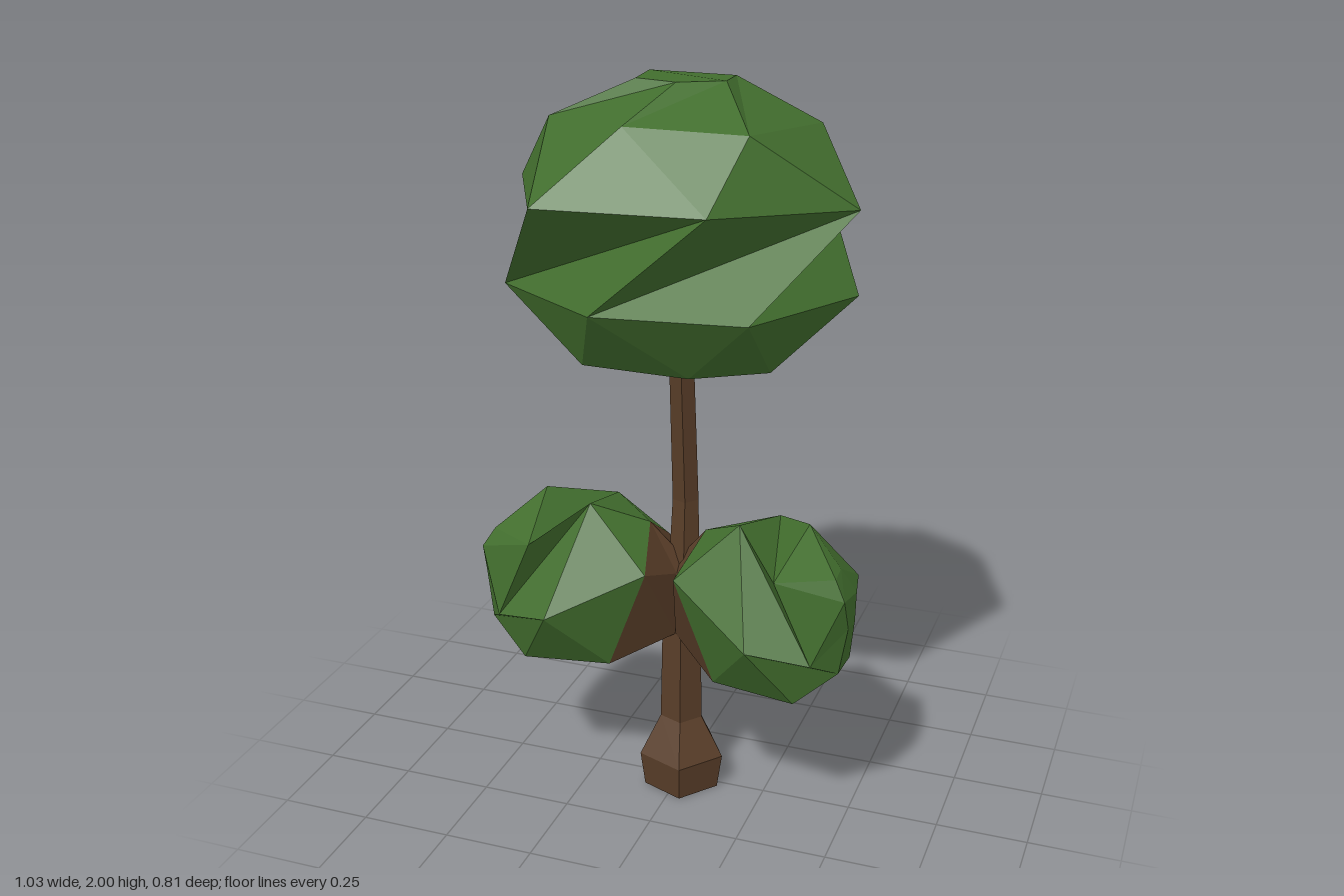
import * as THREE from 'three';

const leaf = new THREE.MeshStandardMaterial({ color: 0x426e2e, flatShading: true });
const bark = new THREE.MeshStandardMaterial({ color: 0x583d28, flatShading: true });

// Skins a stack of rings (tip to base, same point count) and caps both ends.
// shifts[i] is the index twist between ring i and ring i + 1; mirror reflects in x.
function loft(rings, shifts = [], mirror = false) {
  const n = rings[0].length;
  const pos = [];
  const tri = (a, b, c) => {
    for (const [x, y, z] of mirror ? [a, c, b] : [a, b, c]) pos.push(mirror ? -x : x, y, z);
  };
  for (let i = 0; i + 1 < rings.length; i++) {
    const a = rings[i], b = rings[i + 1], s = shifts[i] ?? 0;
    for (let j = 0; j < n; j++) {
      const k = (j + 1) % n;
      tri(a[j], a[k], b[(j + s) % n]);
      tri(a[k], b[(k + s) % n], b[(j + s) % n]);
    }
  }
  const top = rings[0], base = rings[rings.length - 1];
  for (let j = 1; j + 1 < n; j++) {
    tri(top[0], top[j + 1], top[j]);
    tri(base[0], base[j], base[j + 1]);
  }
  const geometry = new THREE.BufferGeometry();
  geometry.setAttribute('position', new THREE.Float32BufferAttribute(pos, 3));
  geometry.computeVertexNormals();
  return geometry;
}

// Regular five-sided trunk ring
const ring = (y, cx, cz, r) => Array.from({ length: 5 }, (_, i) => {
  const t = 0.05 + i * Math.PI * 2 / 5;
  return [cx + r * Math.cos(t), y, cz + r * Math.sin(t)];
});

// Crown rings, from the flat top down
const crown = [
  [[0.12, 2, 0], [0.01, 2, 0.06], [-0.105, 2, 0.035],
    [-0.125, 1.995, -0.115], [-0.02, 1.985, -0.17], [0.1, 1.99, -0.14]],
  [[0.24, 1.91, 0.19], [-0.065, 1.92, 0.235], [-0.325, 1.9, 0.07],
    [-0.25, 1.88, -0.285], [0.06, 1.88, -0.335], [0.32, 1.88, -0.17]],
  [[0.48, 1.72, 0.05], [0.19, 1.745, 0.355], [-0.24, 1.745, 0.4],
    [-0.46, 1.715, -0.05], [-0.295, 1.7, -0.365], [0.265, 1.69, -0.405]],
  [[0.44, 1.45, -0.13], [0.29, 1.49, 0.335], [-0.11, 1.48, 0.36],
    [-0.45, 1.46, 0.1], [-0.3, 1.45, -0.29], [0.05, 1.43, -0.38]],
  [[0.27, 1.29, 0.08], [0.1, 1.3, 0.22], [-0.19, 1.3, 0.21],
    [-0.27, 1.29, -0.06], [-0.1, 1.28, -0.24], [0.2, 1.27, -0.22]],
];

// Left side clump rings, from the small outer facet in towards the trunk
const clump = [
  [[0.51, 0.73, 0.18], [0.48, 0.78, 0.16], [0.475, 0.78, 0.09],
    [0.51, 0.7, 0.05], [0.515, 0.63, 0.08], [0.515, 0.64, 0.15]],
  [[0.44, 0.56, 0.24], [0.34, 0.79, 0.25], [0.375, 0.87, 0.04],
    [0.48, 0.68, -0.09], [0.5, 0.51, 0.06], [0.495, 0.51, 0.16]],
  [[0.28, 0.6, 0.3], [0.21, 0.88, 0.13], [0.24, 0.795, -0.15],
    [0.28, 0.54, -0.19], [0.22, 0.37, -0.02], [0.385, 0.42, 0.2]],
  [[0.15, 0.42, 0.16], [0.04, 0.71, 0.17], [0.08, 0.8, 0.02],
    [0.08, 0.7, -0.13], [0.11, 0.52, -0.15], [0.15, 0.41, -0.02]],
];

// Where the left branch leaves the trunk
const root = [[0, 0.48, 0.04], [0, 0.66, 0.03], [0, 0.7, -0.01],
  [0, 0.66, -0.05], [0, 0.55, -0.05], [0, 0.47, -0.02]];

export function createModel() {
  const group = new THREE.Group();
  const add = (name, geometry, material) => {
    const mesh = new THREE.Mesh(geometry, material);
    mesh.name = name;
    group.add(mesh);
  };

  // Bent trunk with a flared foot
  add('trunk', loft([
    ring(1.34, 0.002, 0, 0.034),
    ring(0.86, 0.003, -0.036, 0.037),
    ring(0.65, 0.003, -0.025, 0.045),
    ring(0.48, 0.003, -0.005, 0.056),
    ring(0.21, 0.005, 0.003, 0.061),
    ring(0.1, 0.01, 0.013, 0.122),
    ring(0, 0.01, 0.015, 0.108),
  ]), bark);

  add('crown', loft(crown, [1, 1, 2, 0]), leaf);

  // Mirrored side clumps, each on a flared branch
  for (const [side, mirror] of [['left', false], ['right', true]]) {
    add(side + 'Clump', loft(clump, [1, 1, 1], mirror), leaf);
    add(side + 'Branch', loft([clump[3], root], [0], mirror), bark);
  }
  return group;
}
